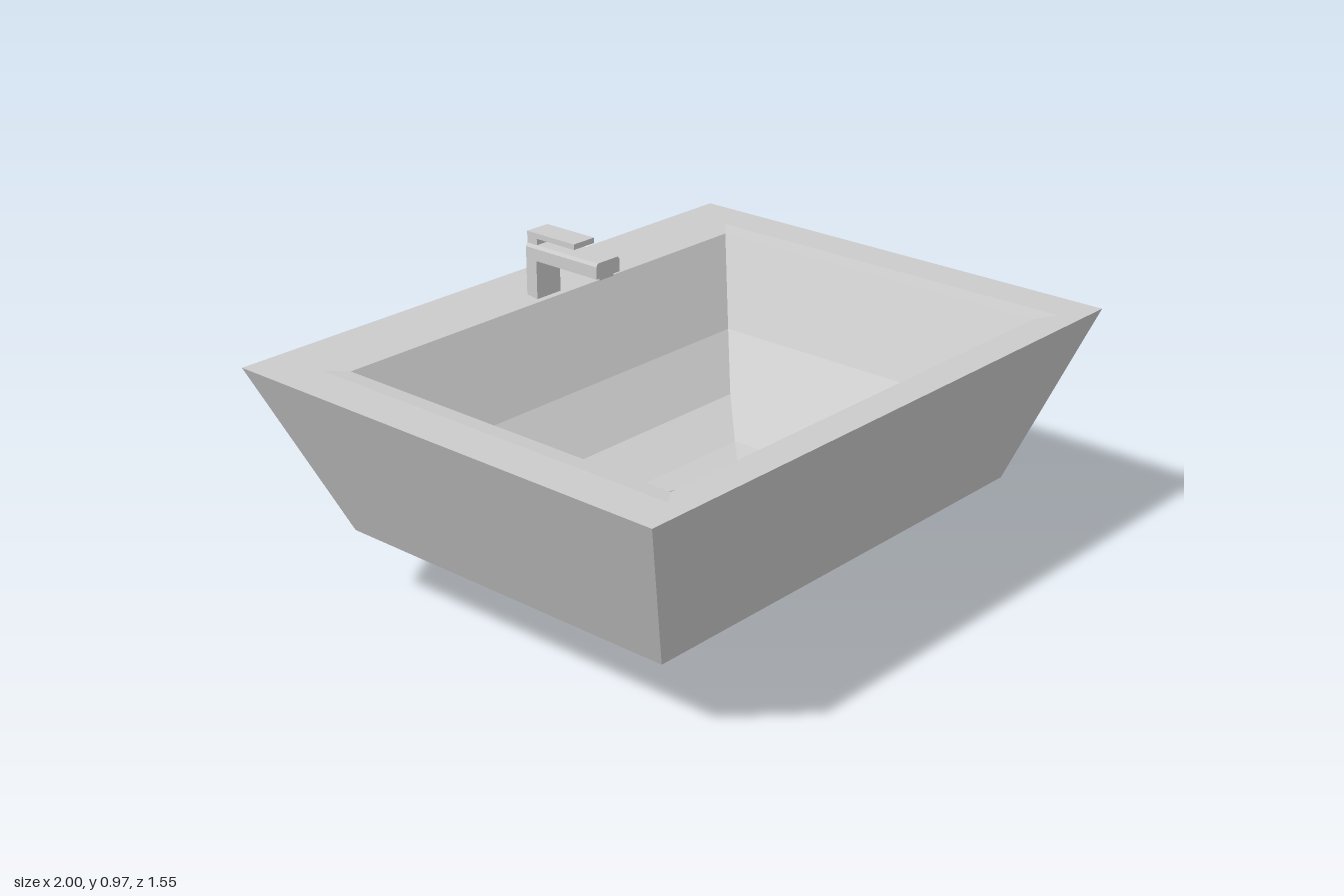
import * as THREE from 'three';

const material = new THREE.MeshStandardMaterial({ color: 0xcccccc, flatShading: true });

function part(name, geometry) {
  const flat = geometry.index ? geometry.toNonIndexed() : geometry;
  flat.computeVertexNormals();
  const mesh = new THREE.Mesh(flat, material);
  mesh.name = name;
  return mesh;
}

// Skins successive rectangles [halfWidth, backZ, frontZ, y]
function loftRectangles(rings, lastSides = [0, 1, 2, 3]) {
  const corners = ([w, z0, z1, y]) => [[-w, y, z1], [w, y, z1], [w, y, z0], [-w, y, z0]];
  const positions = [];
  for (let r = 0; r < rings.length - 1; r++) {
    const p = corners(rings[r]), q = corners(rings[r + 1]);
    const sides = r === rings.length - 2 ? lastSides : [0, 1, 2, 3];
    for (const i of sides) {
      const j = (i + 1) % 4;
      positions.push(...p[i], ...p[j], ...q[j], ...p[i], ...q[j], ...q[i]);
    }
  }
  const geometry = new THREE.BufferGeometry();
  geometry.setAttribute('position', new THREE.Float32BufferAttribute(positions, 3));
  return geometry;
}

// Extrudes a [z, y] side outline symmetrically across x
function sideExtrude(outline, width) {
  const shape = new THREE.Shape(outline.map(([z, y]) => new THREE.Vector2(z, y)));
  return new THREE.ExtrudeGeometry(shape, { depth: width, bevelEnabled: false })
    .translate(0, 0, -width / 2)
    .rotateY(-Math.PI / 2);
}

// Drain centre, floor ridge height and floor slope away from the ridge
const CZ = 0.06, FLOOR = 0.255, SLOPE = 0.17, HOLE = 0.108, SIDES = 7;
const floorHeight = (dz) => FLOOR + SLOPE * Math.abs(dz);

// One half of the floor, notched around the drain
function floorHalf(sign) {
  const points = [[0.18, 0], [0.365, 0.18], [-0.365, 0.18], [-0.18, 0],
    [-HOLE * Math.cos(Math.PI / SIDES), 0]];
  for (let i = 3; i >= 0; i--) {
    const a = (i * 2 * Math.PI) / SIDES;
    points.push([HOLE * Math.cos(a), HOLE * Math.sin(a)]);
  }
  const shape = new THREE.Shape(points.map(([x, y]) => new THREE.Vector2(x, y * sign)));
  const geometry = new THREE.ShapeGeometry(shape).rotateX(-Math.PI / 2);
  const p = geometry.attributes.position;
  for (let i = 0; i < p.count; i++) p.setY(i, floorHeight(p.getZ(i)));
  return geometry.translate(0, 0, CZ);
}

// Seven-sided tapered drain pipe whose mouth follows the floor
function drainPipe() {
  const profile = [[0, 0], [0.058, 0], [0.116, 0.245], [HOLE, FLOOR], [0.05, 0.01], [0, 0.01]];
  const geometry = new THREE.LatheGeometry(
    profile.map(([r, y]) => new THREE.Vector2(r, y)), SIDES, Math.PI / 2);
  const p = geometry.attributes.position;
  for (let i = 0; i < p.count; i++) {
    if (p.getY(i) > FLOOR - 0.001) p.setY(i, floorHeight(p.getZ(i)));
  }
  return geometry.translate(0, 0, CZ);
}

export function createModel() {
  const model = new THREE.Group();
  model.name = 'washbasin';

  // Underside, outer walls, rim with shallow inner slope, then stepped bowl
  const basin = new THREE.Group();
  basin.name = 'basin';
  basin.add(part('basinShell', loftRectangles([
    [0, 0, 0, 0.24],
    [0.775, -0.6, 0.6, 0.24],
    [1, -0.775, 0.775, 0.77],
    [0.865, -0.59, 0.705, 0.77],
    [0.805, -0.54, 0.66, 0.763],
    [0.67, -0.41, 0.53, 0.5],
    [0.53, -0.28, 0.4, 0.35],
    [0.365, -0.12, 0.24, floorHeight(0.18)],
    [0.18, CZ, CZ, FLOOR],
  ], [1, 3])));
  basin.add(part('floorBack', floorHalf(1)), part('floorFront', floorHalf(-1)));
  model.add(basin);

  model.add(part('drainPipe', drainPipe()));

  // Tap: post with spout, chamfered top, lever and outlet
  const tap = new THREE.Group();
  tap.name = 'tap';
  tap.add(part('postAndSpout', sideExtrude([
    [-0.6, 0.765], [-0.557, 0.765], [-0.557, 0.887], [-0.308, 0.887], [-0.308, 0.925], [-0.6, 0.925],
  ], 0.1)));
  tap.add(part('spoutTop', loftRectangles([
    [0.05, -0.6, -0.308, 0.925],
    [0.043, -0.6, -0.308, 0.935],
    [0, -0.45, -0.45, 0.935],
  ])));
  tap.add(part('lever', sideExtrude([
    [-0.6, 0.93], [-0.56, 0.93], [-0.56, 0.955], [-0.405, 0.955], [-0.405, 0.972], [-0.6, 0.972],
  ], 0.086)));
  tap.add(part('outlet', new THREE.BoxGeometry(0.06, 0.012, 0.032).translate(0, 0.883, -0.33)));
  model.add(tap);

  return model;
}
